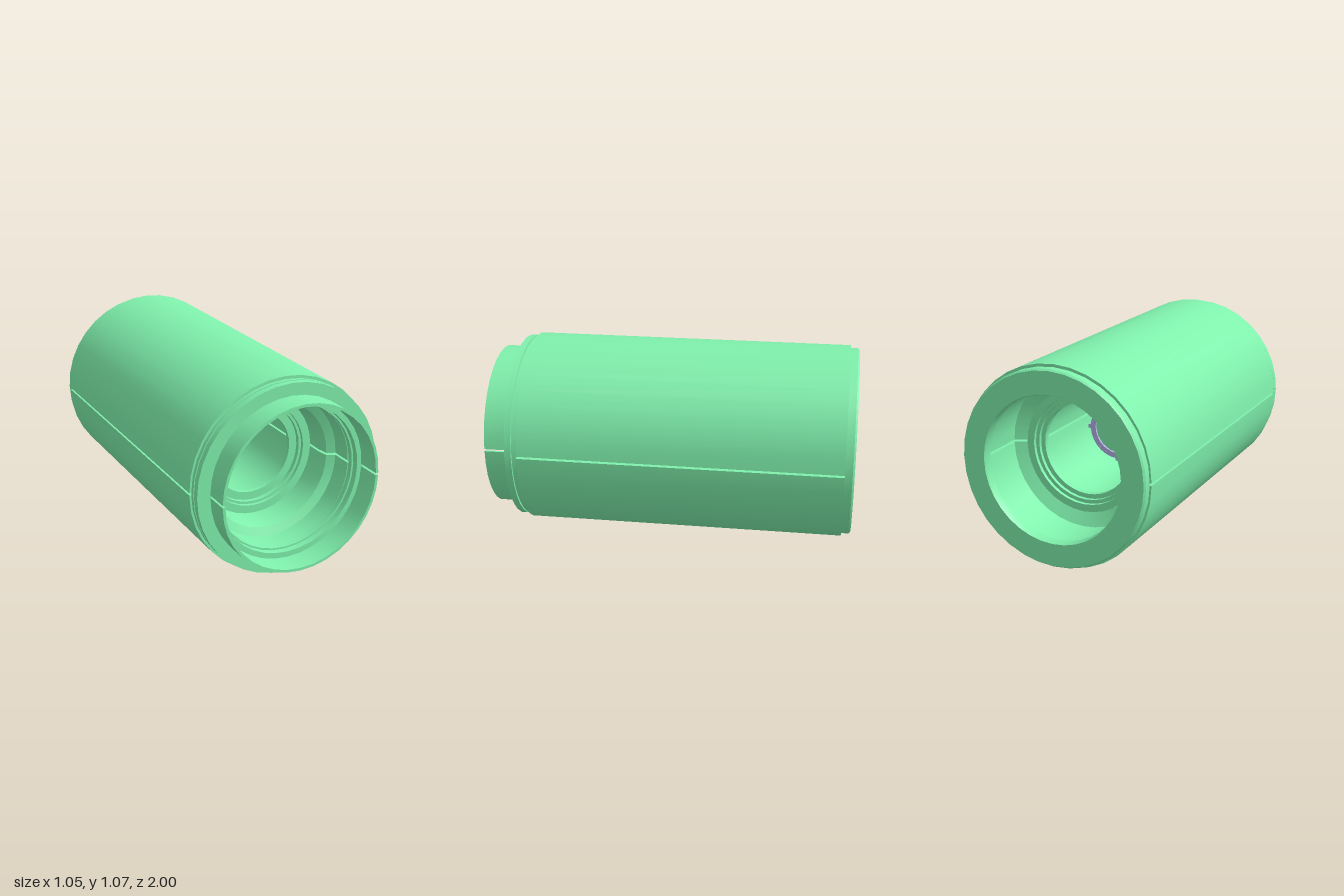
import * as THREE from 'three';
import { toCreasedNormals } from 'three/addons/utils/BufferGeometryUtils.js';

const green = new THREE.MeshStandardMaterial({ color: 0x7ff0ac });
const greenThin = new THREE.MeshStandardMaterial({ color: 0x7ff0ac, side: THREE.DoubleSide });
const purple = new THREE.MeshStandardMaterial({ color: 0xb4b0e4 });
const GAP = 0.006;

// Revolve a closed [radius, z] profile (counter-clockwise) about the z axis
function revolve(profile, segments, start = 0, length = Math.PI * 2) {
  const pts = [...profile, profile[0]].map(([r, z]) => new THREE.Vector2(r, z));
  const g = new THREE.LatheGeometry(pts, segments, start, length).rotateX(Math.PI / 2);
  return toCreasedNormals(g, 0.5);
}

function add(parent, name, geometry, material) {
  const mesh = new THREE.Mesh(geometry, material);
  mesh.name = name;
  parent.add(mesh);
  return mesh;
}

// Rectangular ring between two radii and two z positions
const ring = (r0, r1, z0, z1) => [[r0, z0], [r1, z0], [r1, z1], [r0, z1]];

// Two half revolutions with a slit between them, closed along the slit
function splitPair(parent, name, profile) {
  for (const [side, turn] of [['upper', 0], ['lower', Math.PI]]) {
    const half = new THREE.Group();
    half.name = side + name;
    add(half, 'shell', revolve(profile, 18, Math.PI / 2, Math.PI), green);
    const shape = new THREE.Shape(profile.map(([r, z]) => new THREE.Vector2(r, z)));
    for (const s of [1, -1]) {
      const cap = new THREE.ShapeGeometry(shape).rotateX(Math.PI / 2);
      if (s < 0) cap.rotateZ(Math.PI);
      add(half, 'slitFace', cap, greenThin);
    }
    half.rotation.z = turn;
    half.position.y = turn ? -GAP : GAP;
    parent.add(half);
  }
}

export function createModel() {
  const model = new THREE.Group();
  const body = new THREE.Group();
  body.name = 'detectorBody';
  body.position.y = 0.533;
  model.add(body);

  // Thick barrel halves, stepped inside at both ends
  splitPair(body, 'Barrel', [
    [0.29, -0.6], [0.335, -0.6], [0.335, -0.64], [0.41, -0.68], [0.41, -0.95],
    [0.527, -0.95], [0.527, 0.8], [0.39, 0.8], [0.39, 0.68], [0.345, 0.66],
    [0.335, 0.6], [0.335, 0.44], [0.29, 0.44],
  ]);

  // Thin collar halves at the front
  splitPair(body, 'FrontCollar', ring(0.43, 0.445, 0.862, 1));

  // Unsplit end rings
  add(body, 'frontFlange', revolve(ring(0.405, 0.517, 0.83, 0.866), 36), green);
  add(body, 'frontSpacer', revolve(ring(0.395, 0.505, 0.8, 0.83), 36), green);
  add(body, 'frontLip', revolve(ring(0.5, 0.517, 0.8, 0.822), 36), green);
  add(body, 'backFlange', revolve([
    [0.385, -0.99], [0.39, -1], [0.51, -1], [0.518, -0.99], [0.518, -0.95], [0.385, -0.95],
  ], 36), green);

  // Stepped inner rings that close the ends of the bore
  add(body, 'frontInnerRing', revolve([
    [0.23, 0.44], [0.335, 0.44], [0.335, 0.51], [0.29, 0.51],
    [0.29, 0.49], [0.275, 0.49], [0.275, 0.465], [0.23, 0.465],
  ], 36), green);
  add(body, 'backInnerRing', revolve([
    [0.25, -0.63], [0.275, -0.63], [0.275, -0.65], [0.295, -0.65],
    [0.295, -0.67], [0.335, -0.67], [0.335, -0.6], [0.25, -0.6],
  ], 36), green);

  // Central core: purple barrel with end flanges, lugs and bolts
  const core = new THREE.Group();
  core.name = 'core';
  body.add(core);
  add(core, 'coreBarrel', revolve([
    [0.135, -0.28], [0.165, -0.28], [0.165, -0.26], [0.15, -0.26],
    [0.15, 0.08], [0.165, 0.08], [0.165, 0.1], [0.135, 0.1],
  ], 36), purple);
  for (const z of [0.09, -0.27]) {
    for (let i = 0; i < 4; i++) {
      const a = i * Math.PI / 2;
      const lug = add(core, 'coreLug', new THREE.BoxGeometry(0.024, 0.022, 0.02), purple);
      lug.position.set(Math.cos(a) * 0.167, Math.sin(a) * 0.167, z);
      lug.rotation.z = a;
    }
    for (let i = 0; i < 20; i++) {
      const a = (i + 0.5) * Math.PI / 10;
      const bolt = add(core, 'coreBolt',
        new THREE.CylinderGeometry(0.005, 0.005, 0.026, 8).rotateX(Math.PI / 2), purple);
      bolt.position.set(Math.cos(a) * 0.157, Math.sin(a) * 0.157, z);
    }
  }

  // Stepped nose cone with a bore along the axis
  add(core, 'noseCone', revolve([
    [0.028, -0.27], [0.135, -0.27], [0.135, 0.1], [0.105, 0.16], [0.1, 0.17],
    [0.07, 0.23], [0.065, 0.24], [0.036, 0.31], [0.028, 0.31],
  ], 16), green);

  return model;
}
